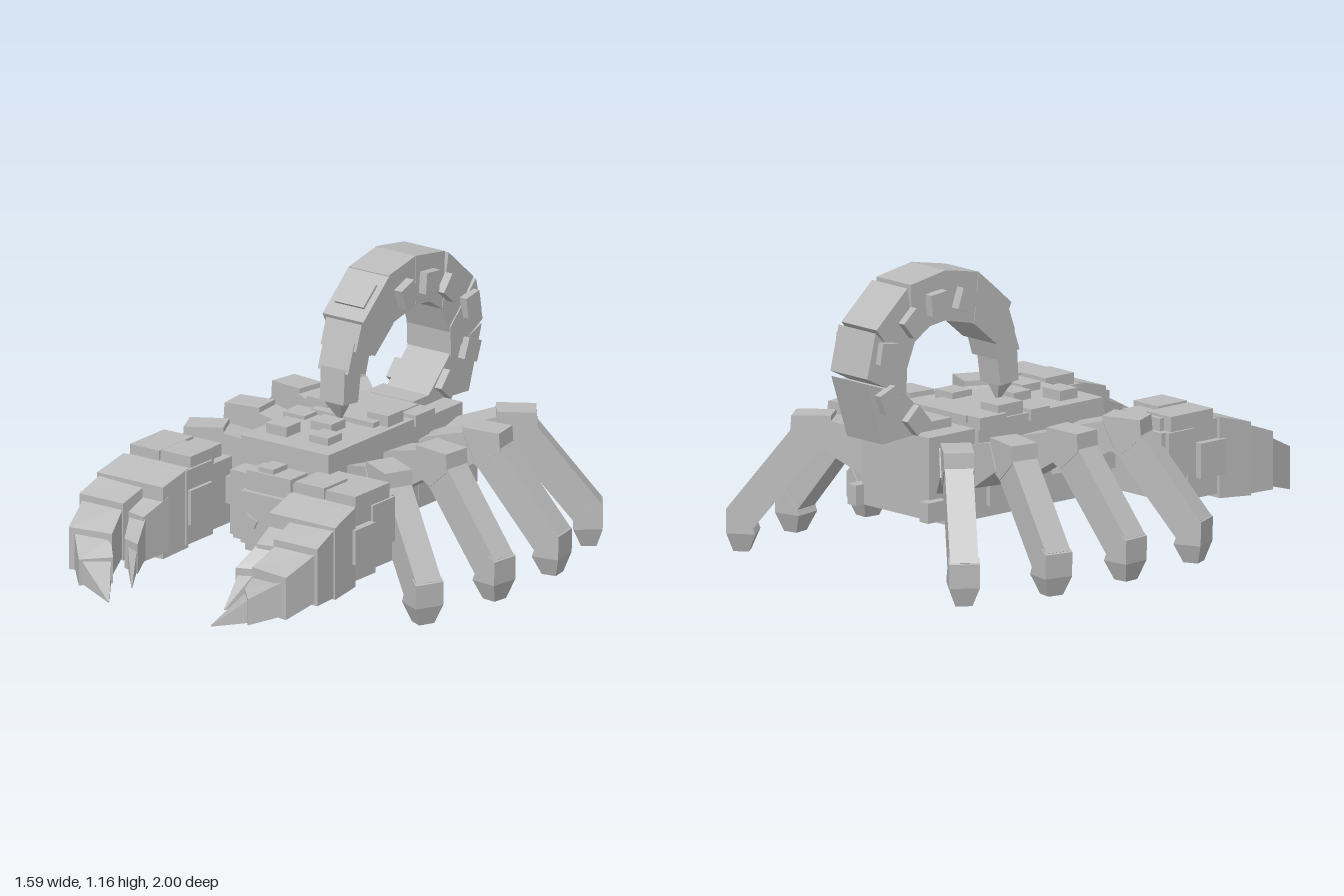
import * as THREE from 'three';

const shell = new THREE.MeshStandardMaterial({ color: 0xbababa, flatShading: true });
shell.name = 'grey shell';

function add(parent, name, geometry) {
  const mesh = new THREE.Mesh(geometry, shell);
  mesh.name = name;
  parent.add(mesh);
  return mesh;
}

// Box given by its limits on each axis
function block(parent, name, x0, x1, y0, y1, z0, z1) {
  const mesh = add(parent, name, new THREE.BoxGeometry(x1 - x0, y1 - y0, z1 - z0));
  mesh.position.set((x0 + x1) / 2, (y0 + y1) / 2, (z0 + z1) / 2);
  return mesh;
}

// Profile extruded to a centred thickness
function slab(points, width) {
  const shape = new THREE.Shape(points.map(p => new THREE.Vector2(p[0], p[1])));
  return new THREE.ExtrudeGeometry(shape, { depth: width, bevelEnabled: false }).translate(0, 0, -width / 2);
}

// Box stretched between two sections: [innerX, outerX, innerZ, outerZ, bottomY, topY]
function wedge(parent, name, side, back, front) {
  const box = new THREE.BoxGeometry(1, 1, 1);
  const p = box.attributes.position;
  for (let i = 0; i < p.count; i++) {
    const s = p.getZ(i) > 0 ? front : back;
    const outer = p.getX(i) * side > 0 ? 1 : 0;
    p.setXYZ(i, side * s[outer], p.getY(i) > 0 ? s[5] : s[4], s[2 + outer]);
  }
  const flat = box.toNonIndexed();
  flat.computeVertexNormals();
  add(parent, name, flat);
}

function buildBody(model) {
  const body = new THREE.Group();
  body.name = 'body';
  model.add(body);
  block(body, 'belly plate', -0.18, 0.18, 0.185, 0.22, -0.6, 0.28);
  block(body, 'lower body', -0.185, 0.185, 0.21, 0.47, -0.66, 0.19);
  block(body, 'rear body', -0.19, 0.19, 0.22, 0.545, -0.7, -0.42);
  block(body, 'carapace', -0.21, 0.21, 0.46, 0.57, -0.46, 0.19);
  block(body, 'back plate', -0.15, 0.15, 0.56, 0.59, -0.47, -0.18);
  block(body, 'tail socket', -0.1, 0.1, 0.5, 0.58, -0.7, -0.5);
  // Raised scales on the back
  const scales = [
    [-0.15, -0.05, 0.61, 0.02, 0.11], [0.05, 0.14, 0.6, 0.01, 0.1],
    [-0.04, 0.06, 0.605, -0.12, -0.03], [-0.2, -0.1, 0.62, -0.35, -0.22],
    [0.09, 0.19, 0.615, -0.32, -0.22], [-0.22, -0.14, 0.59, -0.46, -0.32],
    [0.12, 0.22, 0.585, -0.48, -0.36], [-0.225, -0.12, 0.585, -0.2, -0.1],
  ];
  for (const [x0, x1, top, z0, z1] of scales) block(body, 'back scale', x0, x1, 0.54, top, z0, z1);
  // Head
  block(body, 'head', -0.19, 0.185, 0.2, 0.46, 0.17, 0.285);
  block(body, 'brow', -0.1, 0.11, 0.4, 0.48, 0.18, 0.3);
  block(body, 'snout', -0.115, 0.12, 0.19, 0.4, 0.2, 0.32);
  block(body, 'head scale', -0.05, 0.02, 0.46, 0.5, 0.2, 0.29);
  for (const s of [-1, 1]) {
    const eye = add(body, 'eye', new THREE.BoxGeometry(0.055, 0.035, 0.008));
    eye.position.set(s * 0.063, 0.285, 0.323);
    eye.rotation.z = s * 0.42;
    block(body, 'mouthpart', s * 0.065 - 0.035, s * 0.065 + 0.035, 0.16, 0.23, 0.22, 0.31);
    block(body, 'rear knob', s * 0.205 - 0.025, s * 0.205 + 0.025, 0.22, 0.3, -0.74, -0.64);
    for (const z of [-0.34, -0.1, 0.1]) {
      block(body, 'side scale', s * 0.19 - 0.015, s * 0.19 + 0.015, 0.23, 0.38, z - 0.055, z + 0.055);
    }
    block(body, 'claw joint', s * 0.22 - 0.05, s * 0.22 + 0.05, 0.3, 0.41, 0.13, 0.24);
  }
}

function buildLeg(model, side, z, angle) {
  const leg = new THREE.Group();
  leg.name = side > 0 ? 'left leg' : 'right leg';
  leg.position.set(side * 0.213, 0, z);
  leg.rotation.y = side > 0 ? -angle : Math.PI + angle;
  add(leg, 'upper leg', slab([[-0.06, 0.3], [0.05, 0.33], [0.22, 0.43], [0.17, 0.535], [0.03, 0.5], [-0.06, 0.46]], 0.128));
  add(leg, 'knee', slab([[0.165, 0.44], [0.24, 0.4], [0.33, 0.48], [0.325, 0.55], [0.17, 0.555]], 0.118));
  add(leg, 'shin', slab([[0.225, 0.41], [0.48, 0.09], [0.575, 0.175], [0.325, 0.495]], 0.11));
  add(leg, 'foot', slab([[0.465, 0.075], [0.578, 0.075], [0.58, 0.17], [0.55, 0.19], [0.475, 0.1]], 0.12));
  // Toe narrows towards the ground
  const toe = slab([[0.495, 0], [0.555, 0], [0.578, 0.075], [0.465, 0.075]], 0.12);
  const p = toe.attributes.position;
  for (let i = 0; i < p.count; i++) if (p.getY(i) < 0.01) p.setZ(i, p.getZ(i) * 0.55);
  toe.computeVertexNormals();
  add(leg, 'toe', toe);
  model.add(leg);
}

function buildClaw(model, side) {
  const claw = new THREE.Group();
  claw.name = side > 0 ? 'left claw' : 'right claw';
  model.add(claw);
  const part = (name, back, front) => wedge(claw, name, side, back, front);
  const box = (name, x0, x1, y0, y1, z0, z1) => part(name, [x0, x1, z0, z0, y0, y1], [x0, x1, z1, z1, y0, y1]);
  box('claw arm', 0.245, 0.53, 0.215, 0.48, 0.2, 0.36);
  box('claw wrist', 0.24, 0.54, 0.2, 0.5, 0.33, 0.5);
  part('palm', [0.245, 0.555, 0.48, 0.48, 0.185, 0.505], [0.255, 0.57, 0.63, 0.63, 0.175, 0.465]);
  box('top scale', 0.28, 0.5, 0.45, 0.53, 0.22, 0.45);
  box('top scale', 0.25, 0.39, 0.48, 0.545, 0.31, 0.46);
  box('top scale', 0.4, 0.54, 0.45, 0.54, 0.24, 0.46);
  box('outer scale', 0.5, 0.55, 0.3, 0.48, 0.22, 0.36);
  box('outer scale', 0.5, 0.57, 0.28, 0.42, 0.37, 0.5);
  box('inner scale', 0.225, 0.28, 0.28, 0.42, 0.35, 0.49);
  // Outer finger
  part('outer finger base', [0.35, 0.56, 0.6, 0.62, 0.18, 0.455], [0.36, 0.57, 0.745, 0.745, 0.18, 0.41]);
  part('outer finger middle', [0.37, 0.56, 0.73, 0.73, 0.195, 0.39], [0.335, 0.52, 0.85, 0.88, 0.15, 0.32]);
  part('outer finger end', [0.35, 0.5, 0.84, 0.87, 0.16, 0.3], [0.315, 0.405, 0.87, 0.97, 0.13, 0.235]);
  part('outer fingertip', [0.325, 0.395, 0.87, 0.96, 0.135, 0.225], [0.243, 0.247, 0.99, 0.995, 0.1, 0.105]);
  // Inner finger
  part('inner finger base', [0.25, 0.37, 0.6, 0.6, 0.2, 0.42], [0.27, 0.375, 0.735, 0.71, 0.19, 0.37]);
  part('inner finger middle', [0.265, 0.36, 0.73, 0.7, 0.2, 0.36], [0.235, 0.32, 0.82, 0.79, 0.17, 0.29]);
  part('inner fingertip', [0.245, 0.305, 0.81, 0.79, 0.18, 0.275], [0.22, 0.226, 0.875, 0.872, 0.13, 0.135]);
}

function buildTail(model) {
  const tail = new THREE.Group();
  tail.name = 'tail';
  model.add(tail);
  // Side profiles as [z, y], with a width for each segment
  const segments = [
    [0.2, [[-0.57, 0.55], [-0.86, 0.53], [-0.943, 0.78], [-0.74, 0.71]]],
    [0.21, [[-0.74, 0.7], [-0.943, 0.8], [-0.9, 0.975], [-0.735, 0.82]]],
    [0.2, [[-0.735, 0.8], [-0.89, 0.985], [-0.73, 1.125], [-0.69, 0.91]]],
    [0.195, [[-0.7, 0.9], [-0.71, 1.135], [-0.525, 1.165], [-0.52, 0.968], [-0.61, 0.957]]],
    [0.19, [[-0.54, 0.968], [-0.53, 1.165], [-0.35, 1.13], [-0.37, 0.93]]],
    [0.195, [[-0.38, 0.93], [-0.355, 1.13], [-0.185, 0.985], [-0.26, 0.83]]],
    [0.17, [[-0.27, 0.84], [-0.195, 0.98], [-0.155, 0.87], [-0.25, 0.83]]],
    [0.145, [[-0.26, 0.84], [-0.16, 0.9], [-0.12, 0.785], [-0.235, 0.76]]],
    [0.115, [[-0.225, 0.78], [-0.12, 0.8], [-0.112, 0.66], [-0.205, 0.65]]],
  ];
  for (const [width, profile] of segments) {
    add(tail, 'tail segment', slab(profile, width).rotateY(-Math.PI / 2));
  }
  // Stinger
  const sting = add(tail, 'stinger', new THREE.ConeGeometry(0.06, 0.1, 4).rotateY(Math.PI / 4));
  sting.position.set(0, 0.62, -0.163);
  sting.rotation.x = Math.PI + 0.13;
  // Plate on the outer curve
  const plate = add(tail, 'tail plate', new THREE.BoxGeometry(0.14, 0.02, 0.11));
  plate.position.set(0, 1.058, -0.27);
  plate.rotation.x = 0.7;
  // Square studs along both sides: z, y, tilt
  const studs = [[-0.44, 1.037, -0.35], [-0.588, 1.048, 0.1], [-0.717, 0.99, 0.7],
    [-0.85, 0.888, 1.4], [-0.845, 0.706, 1.95], [-0.7, 0.604, 2.3]];
  for (const [z, y, tilt] of studs) {
    const stud = add(tail, 'tail stud', new THREE.BoxGeometry(0.265, 0.085, 0.085));
    stud.position.set(0, y, z);
    stud.rotation.x = -tilt;
  }
}

export function createModel() {
  const model = new THREE.Group();
  model.name = 'scorpion';
  buildBody(model);
  buildTail(model);
  // Root position and splay of each leg, front to back
  const legs = [[0, 0.44], [-0.228, 0.105], [-0.455, -0.19], [-0.6, -0.66]];
  for (const side of [-1, 1]) {
    buildClaw(model, side);
    for (const [z, angle] of legs) buildLeg(model, side, z, angle);
  }
  return model;
}
